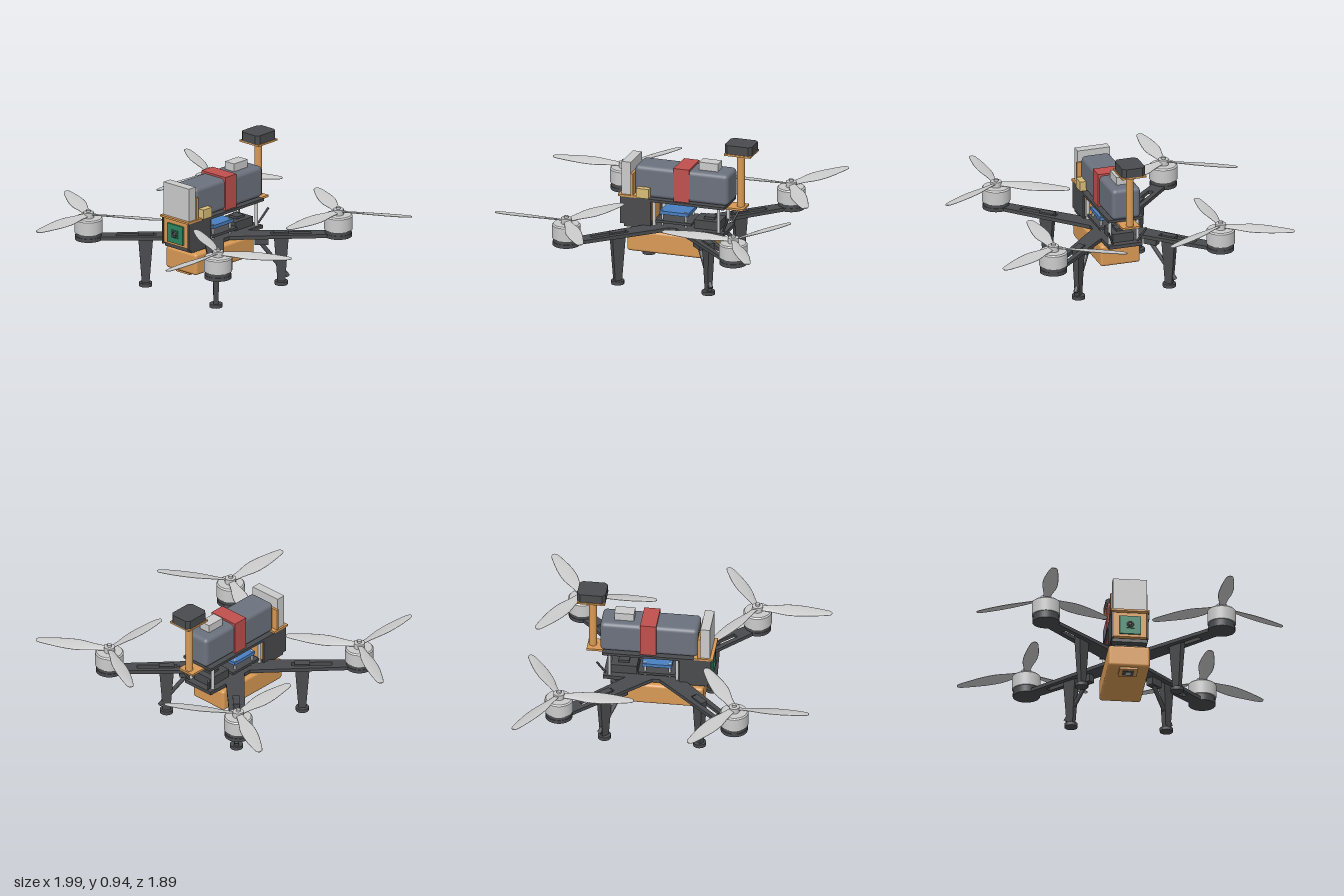
import * as THREE from 'three';
import { RoundedBoxGeometry } from 'three/addons/geometries/RoundedBoxGeometry.js';
import { ParametricGeometry } from 'three/addons/geometries/ParametricGeometry.js';

const mat = (color) => new THREE.MeshStandardMaterial({ color });
const GREY = mat(0xcccccc), DARK = mat(0x4a4b4e), SLATE = mat(0x6c727e), ORANGE = mat(0xd99a55),
  RED = mat(0xc0504d), BLUE = mat(0x4a7fc0), GREEN = mat(0x2f8562), YELLOW = mat(0xd9bd77);

const CZ = -0.115; // centre of the rotor layout
const MOTOR = 0.571; // rotor offset in x and z
const ARM = MOTOR * Math.SQRT2;

function add(parent, name, geo, material, x = 0, y = 0, z = 0) {
  const m = new THREE.Mesh(geo, material);
  m.name = name;
  m.position.set(x, y, z);
  parent.add(m);
  return m;
}

// Box given by its limits, optionally with rounded edges
function box(parent, name, material, [x0, x1], [y0, y1], [z0, z1], r = 0) {
  const s = [x1 - x0, y1 - y0, z1 - z0];
  const geo = r ? new RoundedBoxGeometry(...s, 3, r) : new THREE.BoxGeometry(...s);
  return add(parent, name, geo, material, (x0 + x1) / 2, (y0 + y1) / 2, (z0 + z1) / 2);
}

// Upright cylinder between two heights
function post(parent, name, material, r, y0, y1, x = 0, z = 0, sides = 32) {
  return add(parent, name, new THREE.CylinderGeometry(r, r, y1 - y0, sides), material, x, (y0 + y1) / 2, z);
}

// Straight rod between two points
function rod(parent, name, material, r, a, b) {
  const p = new THREE.Vector3(...a), q = new THREE.Vector3(...b), d = q.clone().sub(p);
  const m = add(parent, name, new THREE.CylinderGeometry(r, r, d.length(), 12), material);
  m.position.copy(p).add(q).multiplyScalar(0.5);
  m.quaternion.setFromUnitVectors(new THREE.Vector3(0, 1, 0), d.normalize());
  return m;
}

// Tapered arm along +x with a rounded motor seat and a long slot
function armGeometry() {
  const s = new THREE.Shape(), R = 0.088;
  s.moveTo(0, -0.066);
  s.lineTo(ARM - 0.075, -0.046);
  s.absarc(ARM, 0, R, -Math.PI + 0.55, Math.PI - 0.55, false);
  s.lineTo(ARM - 0.075, 0.046);
  s.lineTo(0, 0.066);
  const h = new THREE.Path();
  h.moveTo(0.37, -0.018);
  h.lineTo(0.37, 0.018);
  h.lineTo(0.63, 0.018);
  h.lineTo(0.63, -0.018);
  s.holes.push(h);
  const g = new THREE.ExtrudeGeometry(s, { depth: 0.024, bevelEnabled: false, curveSegments: 20 });
  return g.rotateX(-Math.PI / 2).translate(0, 0.325, 0);
}

// Twisted lens-section blade along +x
function bladeGeometry(spin) {
  const chord = new THREE.SplineCurve([
    [0.015, 0.02], [0.1, 0.03], [0.2, 0.048], [0.3, 0.048], [0.4, 0.036], [0.465, 0.024], [0.483, 0.014], [0.488, 0.001],
  ].map((p) => new THREE.Vector2(...p)));
  return new ParametricGeometry((u, v, out) => {
    const { x, y: c } = chord.getPoint(u);
    const a = v * Math.PI * 2, t = 0.003 + 0.1 * Math.min(c, 0.03);
    const pitch = spin * (0.32 - 0.45 * x);
    const z = c * Math.cos(a), y = Math.min(t, c) * Math.sin(a);
    out.set(x, y * Math.cos(pitch) - z * Math.sin(pitch), y * Math.sin(pitch) + z * Math.cos(pitch));
  }, 28, 16);
}

// Four-sided leg, narrowing towards the foot
function legGeometry() {
  const g = new THREE.BoxGeometry(0.1, 0.345, 0.046);
  const p = g.attributes.position;
  for (let i = 0; i < p.count; i++) {
    if (p.getY(i) < 0) p.setXYZ(i, p.getX(i) * 0.48, p.getY(i), p.getZ(i) * 0.65);
  }
  g.computeVertexNormals();
  return g;
}

function rotor(sx, sz) {
  const g = new THREE.Group();
  g.name = 'rotor';
  g.position.set(sx * MOTOR, 0, CZ + sz * MOTOR);
  post(g, 'motorBase', DARK, 0.085, 0.345, 0.376);
  const bell = [[0, 0.374], [0.092, 0.374], [0.092, 0.374], [0.092, 0.462], [0.092, 0.462], [0.084, 0.471], [0.084, 0.471], [0, 0.471]];
  add(g, 'motorBell', new THREE.LatheGeometry(bell.map((p) => new THREE.Vector2(...p)), 40), GREY);
  post(g, 'propellerHub', GREY, 0.035, 0.47, 0.507);
  post(g, 'propellerNut', GREY, 0.015, 0.507, 0.522, 0, 0, 6);
  const blade = bladeGeometry(sx * sz);
  for (let i = 0; i < 3; i++) {
    add(g, 'propellerBlade', blade, GREY, 0, 0.49, 0).rotation.y = -Math.PI / 2 + (i * Math.PI * 2) / 3;
  }
  return g;
}

export function createModel() {
  const model = new THREE.Group();
  model.name = 'quadcopter';

  // Frame plates
  box(model, 'bottomPlate', DARK, [-0.115, 0.115], [0.325, 0.349], [-0.46, 0.22]);
  box(model, 'topPlate', DARK, [-0.12, 0.12], [0.512, 0.53], [-0.465, 0.22]);
  box(model, 'payloadMount', DARK, [-0.09, 0.09], [0.305, 0.327], [-0.32, 0.17]);

  // Arms, rotors and legs
  const armGeo = armGeometry(), legGeo = legGeometry();
  for (const sx of [-1, 1]) {
    for (const sz of [-1, 1]) {
      const turn = Math.atan2(-sz, sx);
      add(model, 'arm', armGeo, DARK, 0, 0, CZ).rotation.y = turn;
      model.add(rotor(sx, sz));
      const x = sx * 0.31, z = CZ + sz * 0.31;
      add(model, 'leg', legGeo, DARK, x, 0.1875, z).rotation.y = turn;
      post(model, 'foot', DARK, 0.043, 0, 0.024, x, z, 16);
    }
    // Rear receiver antennas running down past the rear legs
    rod(model, 'legAntenna', DARK, 0.014, [sx * 0.215, 0.285, -0.33], [sx * 0.342, 0.055, -0.455]);
    const mount = box(model, 'antennaMount', DARK, [-0.045, 0.045], [0.275, 0.326], [-0.025, 0.025]);
    mount.position.x = sx * 0.22;
    mount.position.z = -0.335;
    mount.rotation.y = sx * Math.PI / 4;
    rod(model, 'tailAntenna', DARK, 0.007, [sx * 0.085, 0.36, -0.45], [sx * 0.13, 0.46, -0.497]);
    // Standoffs between the plates
    for (const z of [-0.42, 0.02]) post(model, 'standoff', GREY, 0.011, 0.345, 0.515, sx * 0.095, z, 12);
  }

  // Front camera housing
  for (const s of [-1, 1]) {
    const side = box(model, 'cameraSidePlate', DARK, [-0.006, 0.006], [0.345, 0.528], [0.035, 0.245]);
    side.position.x = s * 0.114;
  }
  box(model, 'cameraHousing', ORANGE, [-0.108, 0.108], [0.355, 0.525], [0.05, 0.238]);
  box(model, 'cameraBoard', GREEN, [-0.068, 0.068], [0.372, 0.498], [0.237, 0.25]);
  box(model, 'cameraBody', GREEN, [-0.026, 0.026], [0.41, 0.462], [0.25, 0.257]);
  add(model, 'cameraRing', new THREE.TorusGeometry(0.018, 0.005, 10, 24), DARK, 0, 0.436, 0.257);
  add(model, 'cameraLens', new THREE.SphereGeometry(0.013, 20, 12), DARK, 0, 0.436, 0.251);

  // Upright unit with its bracket
  box(model, 'bracketBase', ORANGE, [-0.125, 0.125], [0.53, 0.543], [0.13, 0.258]);
  box(model, 'bracketBack', ORANGE, [-0.12, 0.12], [0.54, 0.69], [0.158, 0.175]);
  box(model, 'uprightUnit', GREY, [-0.111, 0.111], [0.543, 0.765], [0.175, 0.237]);
  box(model, 'powerConnector', YELLOW, [0.09, 0.138], [0.537, 0.602], [0.045, 0.13]);

  // Battery, strap and the small module on top
  box(model, 'battery', SLATE, [-0.097, 0.097], [0.53, 0.742], [-0.483, 0.155], 0.028);
  box(model, 'batteryStrap', RED, [-0.105, 0.105], [0.51, 0.755], [-0.22, -0.115]);
  box(model, 'topModule', GREY, [-0.04, 0.04], [0.735, 0.795], [-0.396, -0.268]);

  // Flight electronics between the plates
  box(model, 'lowerBoard', DARK, [-0.1, 0.1], [0.37, 0.387], [-0.235, 0.01]);
  box(model, 'flightBoard', BLUE, [-0.09, 0.09], [0.426, 0.448], [-0.21, -0.015]);
  for (const x of [-0.075, 0.075]) {
    for (const z of [-0.19, -0.03]) post(model, 'boardSpacer', GREY, 0.008, 0.348, 0.452, x, z, 10);
  }
  box(model, 'receiver', DARK, [-0.07, 0.07], [0.349, 0.408], [-0.415, -0.245]);
  box(model, 'receiverCap', DARK, [-0.035, 0.035], [0.405, 0.424], [-0.37, -0.3]);

  // Mast with its navigation module
  box(model, 'mastBracket', ORANGE, [-0.06, 0.06], [0.498, 0.512], [-0.575, -0.42]);
  post(model, 'mast', ORANGE, 0.025, 0.5, 0.88, 0, -0.54, 24);
  box(model, 'mastTray', ORANGE, [-0.083, 0.083], [0.874, 0.886], [-0.634, -0.452]);
  const puck = new THREE.Shape(), w = 0.078, d = 0.093, c = 0.022;
  [[w, d - c], [w - c, d], [c - w, d], [-w, d - c], [-w, c - d], [c - w, -d], [w - c, -d], [w, c - d]]
    .forEach(([x, y], i) => (i ? puck.lineTo(x, y) : puck.moveTo(x, y)));
  const puckGeo = new THREE.ExtrudeGeometry(puck, { depth: 0.06, bevelEnabled: false }).rotateX(-Math.PI / 2);
  add(model, 'navigationModule', puckGeo, DARK, 0, 0.885, -0.543);

  // Payload pod under the frame with a downward sensor
  box(model, 'payloadPod', ORANGE, [-0.135, 0.135], [0.167, 0.312], [-0.362, 0.195], 0.018);
  box(model, 'sensorFrame', ORANGE, [-0.06, 0.06], [0.152, 0.17], [0.06, 0.175]);
  box(model, 'sensorPlate', DARK, [-0.036, 0.036], [0.149, 0.156], [0.082, 0.153]);
  post(model, 'sensorLens', GREY, 0.018, 0.146, 0.152, 0, 0.1175, 20);
  return model;
}
